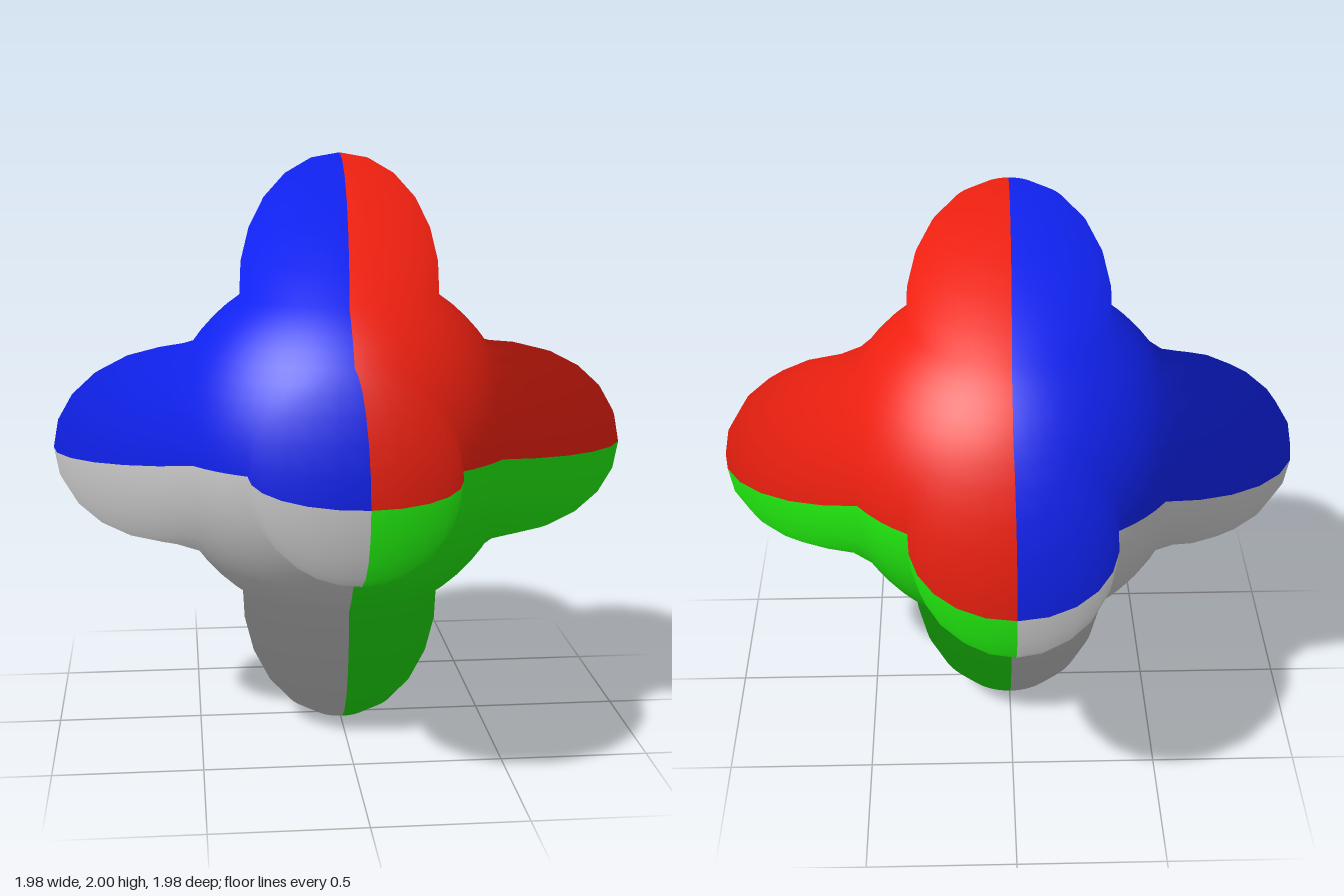
import * as THREE from 'three';

const CORE = 0.62;          // radius of the round core
const LOBE_ANGLE = 33.75;   // half angle of each lobe, in degrees

// Distance of the surface from the centre along a unit direction
function surfaceRadius(d) {
  const ax = Math.abs(d.x), ay = Math.abs(d.y), az = Math.abs(d.z);
  const nearest = Math.min(1, Math.max(ax, ay, az));
  const angle = THREE.MathUtils.radToDeg(Math.acos(nearest));
  if (angle >= LOBE_ANGLE) return CORE;
  const height = ay === Math.max(ax, ay, az) ? 0.38 : 0.37;
  return CORE + height * Math.cos((angle / LOBE_ANGLE) * Math.PI / 2);
}

// One quarter of the body; normals stay radial so shading flows over the lobes
function quarter(name, phiStart, thetaStart, color) {
  const geo = new THREE.SphereGeometry(1, 32, 16, phiStart, Math.PI, thetaStart, Math.PI / 2);
  const pos = geo.attributes.position;
  const d = new THREE.Vector3();
  for (let i = 0; i < pos.count; i++) {
    d.fromBufferAttribute(pos, i).normalize();
    d.multiplyScalar(surfaceRadius(d));
    pos.setXYZ(i, d.x, d.y, d.z);
  }
  const mesh = new THREE.Mesh(geo, new THREE.MeshStandardMaterial({ color }));
  mesh.name = name;
  mesh.position.y = 1;
  return mesh;
}

export function createModel() {
  const group = new THREE.Group();
  group.name = 'sixLobedBody';
  const H = Math.PI / 2;
  group.add(
    quarter('upperLeftQuarter', H, 0, 0xee2010),
    quarter('upperRightQuarter', -H, 0, 0x1022ee),
    quarter('lowerLeftQuarter', H, H, 0x22ee10),
    quarter('lowerRightQuarter', -H, H, 0xcccccc)
  );
  return group;
}
